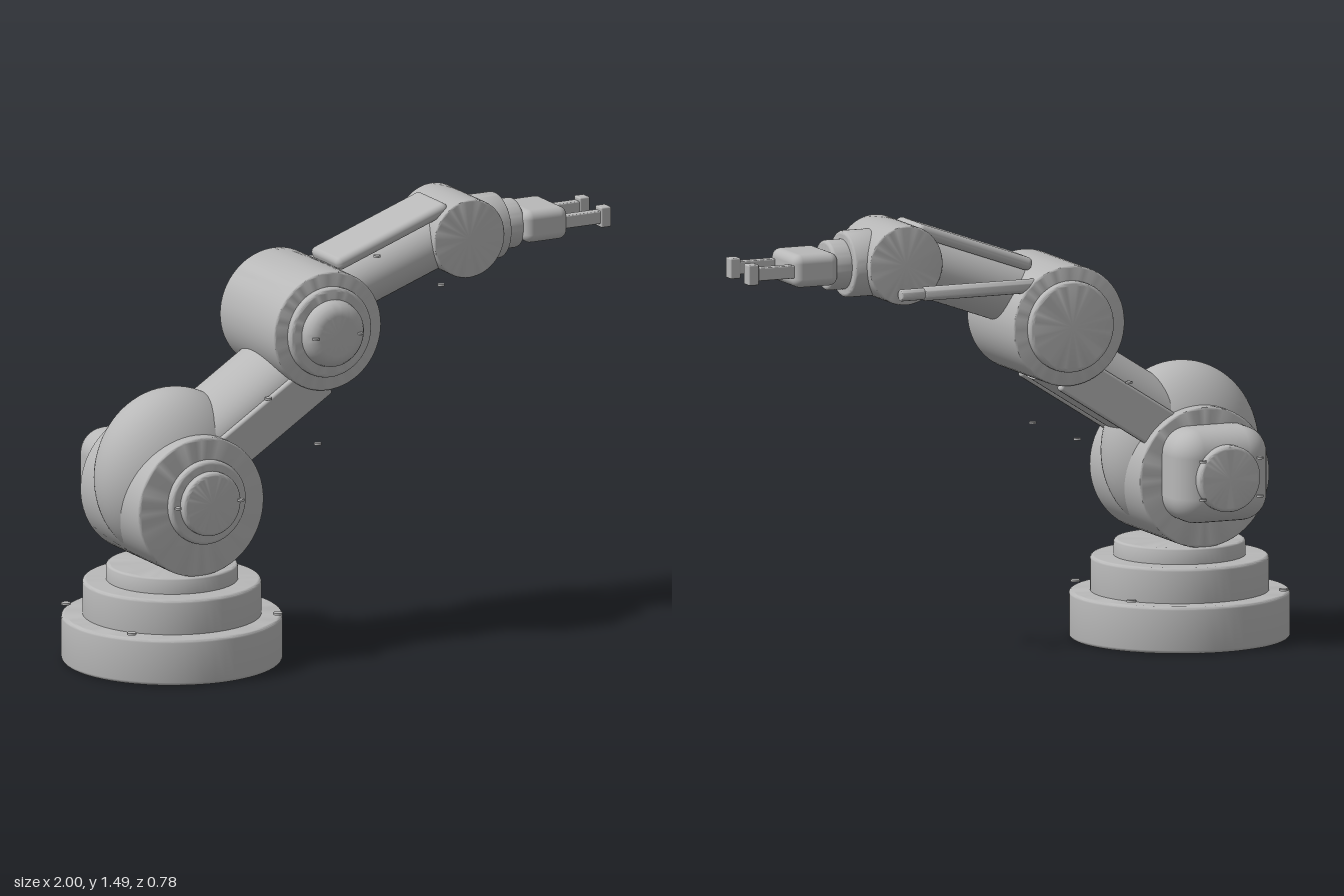
import * as THREE from 'three';
import { toCreasedNormals } from 'three/addons/utils/BufferGeometryUtils.js';
import { RoundedBoxGeometry } from 'three/addons/geometries/RoundedBoxGeometry.js';

export function createModel() {
  const model = new THREE.Group();
  model.name = 'robotArm';
  const grey = new THREE.MeshStandardMaterial({ color: 0xb8b8b8 });
  grey.name = 'machineGrey';

  function add(parent, name, geometry, x = 0, y = 0, z = 0) {
    const mesh = new THREE.Mesh(geometry, grey);
    mesh.name = name;
    mesh.position.set(x, y, z);
    parent.add(mesh);
    return mesh;
  }

  // Closed drum along y with rounded rims; the inner loops keep the caps flat
  function drum(r, h, b = 0.012) {
    const inner = r - b - 0.002;
    const pts = [new THREE.Vector2(0, 0), new THREE.Vector2(inner, 0)];
    for (const [cy, start] of [[b, -Math.PI / 2], [h - b, 0]]) {
      for (let i = 0; i <= 4; i++) {
        const a = start + (i / 4) * Math.PI / 2;
        pts.push(new THREE.Vector2(r - b + b * Math.cos(a), cy + b * Math.sin(a)));
      }
    }
    pts.push(new THREE.Vector2(inner, h), new THREE.Vector2(0, h));
    return toCreasedNormals(new THREE.LatheGeometry(pts, 64), 0.6);
  }
  // Drum running along z between z0 and z1
  const drumZ = (name, r, x, y, z0, z1, b) =>
    add(model, name, drum(r, z1 - z0, b).rotateX(Math.PI / 2), x, y, z0);
  // Drum running along x between x0 and x1
  const drumX = (name, r, x0, x1, y, z, b) =>
    add(model, name, drum(r, x1 - x0, b).rotateZ(-Math.PI / 2), x0, y, z);
  const box = (parent, name, w, h, d, x, y, z, r = 0.01) =>
    add(parent, name, new RoundedBoxGeometry(w, h, d, 5, r), x, y, z);

  // Stepped round base
  const bx = -0.628, bz = 0.017;
  for (const [name, r, y0, y1] of [
    ['baseFoot', 0.372, 0, 0.16], ['baseStep', 0.301, 0.13, 0.28], ['turntable', 0.222, 0.25, 0.335],
  ]) add(model, name, drum(r, y1 - y0), bx, y0, bz);

  // Shoulder joint and its round housing
  drumZ('shoulderDrum', 0.24, bx, 0.572, -0.19, 0.225, 0.008);
  const housing = add(model, 'shoulderHousing', new THREE.SphereGeometry(1, 64, 40), bx, 0.642, 0.015);
  housing.scale.set(0.277, 0.298, 0.202);
  drumZ('shoulderRing', 0.145, -0.613, 0.59, 0.2, 0.25);
  drumZ('shoulderCap', 0.11, -0.613, 0.59, 0.22, 0.277);

  // Motor behind the shoulder
  box(model, 'shoulderMotor', 0.345, 0.32, 0.24, -0.643, 0.592, -0.228, 0.09);
  drumZ('motorCap', 0.113, -0.64, 0.592, -0.375, -0.32);

  // Upper arm: oval tube between two side plates, along local x
  const upperArm = new THREE.Group();
  upperArm.name = 'upperArm';
  upperArm.position.set(-0.345, 0.86, 0.02);
  upperArm.rotation.z = 0.57;
  model.add(upperArm);
  const tube = (len) => new THREE.CylinderGeometry(1, 1, len, 48).rotateZ(Math.PI / 2);
  add(upperArm, 'upperArmTube', tube(0.5), 0, 0.018, 0).scale.set(1, 0.115, 0.165);
  for (const s of [1, -1])
    box(upperArm, 'upperArmPlate', 0.44, 0.14, 0.034, 0, -0.025, s * 0.161, 0.01);

  // Elbow joint with end flanges and a domed cover
  const ex = -0.137, ey = 1.118;
  drumZ('elbowDrum', 0.205, ex, ey, -0.175, 0.212, 0.008);
  drumZ('elbowFrontFlange', 0.155, ex, ey, 0.19, 0.238);
  drumZ('elbowBackFlange', 0.155, ex, ey, -0.202, -0.155);
  drumZ('elbowDome', 0.115, ex, ey, 0.185, 0.287, 0.046);

  // Forearm: rounded beam with a cover plate on top
  const forearm = new THREE.Group();
  forearm.name = 'forearm';
  forearm.position.set(0.19, 1.275, 0.02);
  forearm.rotation.z = 0.343;
  model.add(forearm);
  add(forearm, 'forearmTube', tube(0.5), 0.02, 0.005, 0).scale.set(1, 0.103, 0.12);
  box(forearm, 'forearmCover', 0.45, 0.045, 0.2, 0.01, 0.117, 0.01, 0.02);

  // Cable conduit on the back
  drumX('conduit', 0.024, -0.02, 0.39, 1.26, -0.147, 0.006);
  drumX('conduitEnd', 0.02, 0.38, 0.475, 1.26, -0.147, 0.006);

  // Wrist
  drumZ('wristDrum', 0.135, 0.437, 1.354, -0.116, 0.153, 0.006);
  drumX('wristCollar', 0.113, 0.5, 0.614, 1.352, 0.018);
  drumX('wristNeck', 0.085, 0.58, 0.68, 1.352, 0.018);

  // Gripper
  box(model, 'gripperBody', 0.165, 0.112, 0.212, 0.752, 1.353, 0.017, 0.03);
  for (const s of [1, -1]) {
    const z = 0.018 + s * 0.075;
    box(model, 'finger', 0.17, 0.044, 0.034, 0.9, 1.353, z, 0.004);
    box(model, 'fingerTip', 0.038, 0.07, 0.044, 0.981, 1.353, z, 0.005);
  }

  // Small bolts
  const bolt = (x, y, z, r = 0.012) =>
    add(model, 'bolt', new THREE.CylinderGeometry(r, r, 0.007, 16), x, y, z);
  for (const sx of [1, -1]) for (const sz of [1, -1])
    bolt(bx + sx * 0.28, 0.174, bz + sz * 0.23, 0.016);
  for (const z of [0.2, -0.165]) {
    bolt(-0.36, 0.91, z);
    bolt(-0.17, 0.73, z);
  }
  bolt(0.09, 1.335, 0.14);
  bolt(0.335, 1.205, 0.14);
  for (const s of [1, -1]) {
    bolt(ex + s * 0.085, ey, 0.282);
    bolt(bx + s * 0.12, 0.595, 0.28);
    for (const y of [0.53, 0.66]) bolt(-0.64 + s * 0.105, y, -0.382);
  }
  return model;
}
